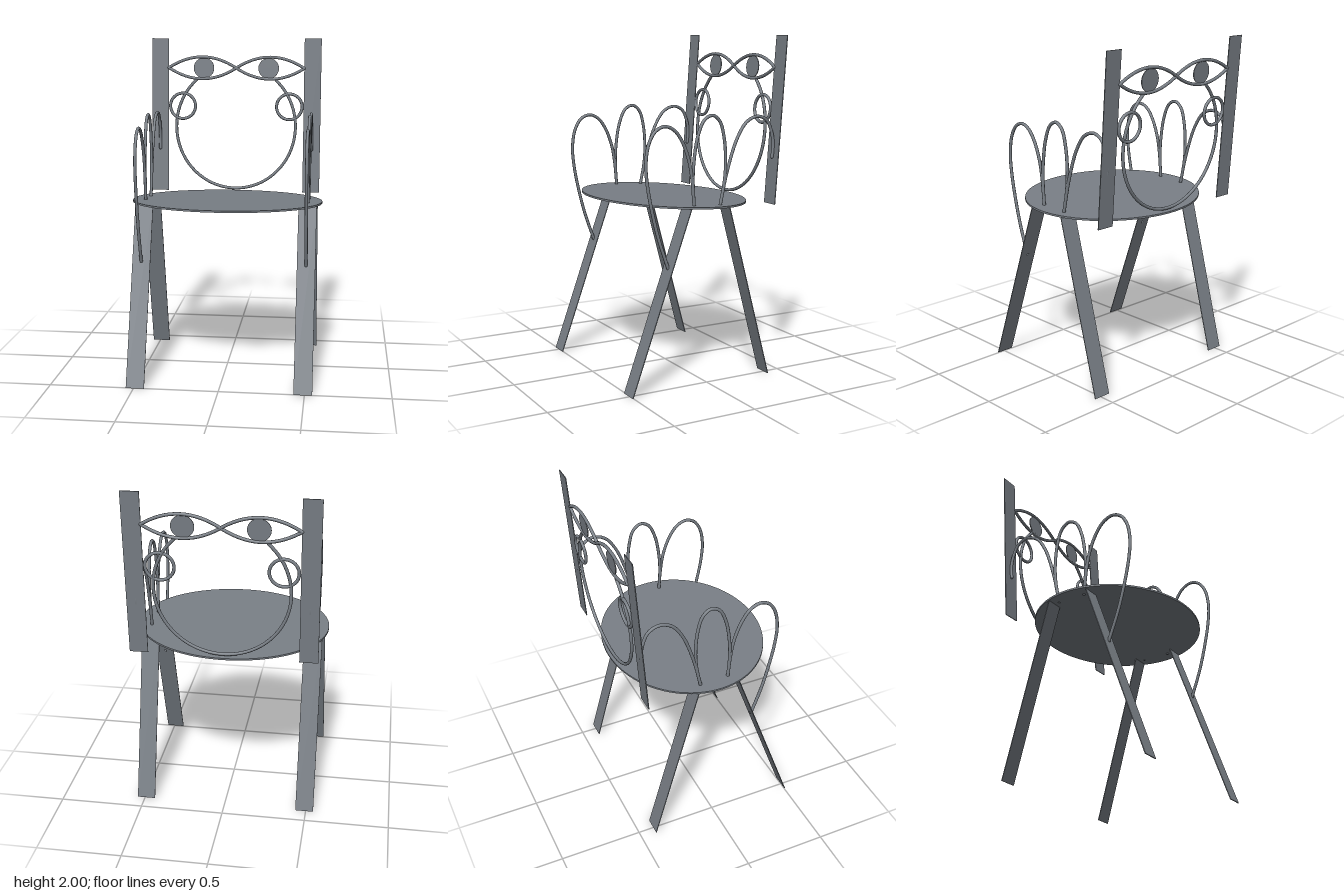
import * as THREE from 'three';

const R = 0.0095;      // wire radius
const SIDE_X = 0.491;  // centre line of legs, posts and arm wires
const mat = new THREE.MeshStandardMaterial({ color: 0x797f86, side: THREE.DoubleSide });

function add(parent, geometry, name) {
  const mesh = new THREE.Mesh(geometry, mat);
  mesh.name = name;
  parent.add(mesh);
  return mesh;
}

// Round wire through [x, y, z] points, with rounded ends
function wire(parent, points, name, segments) {
  const curve = new THREE.CatmullRomCurve3(points.map((p) => new THREE.Vector3(...p)), false, 'centripetal');
  add(parent, new THREE.TubeGeometry(curve, segments, R, 10), name);
  for (const end of [0, 1]) {
    add(parent, new THREE.SphereGeometry(R, 10, 8), name + 'End').position.copy(curve.getPoint(end));
  }
}

// Thin flat plank between two [z, y] points
function plank(parent, x, [z0, y0], [z1, y1], name) {
  const mesh = add(parent, new THREE.BoxGeometry(0.108, Math.hypot(z1 - z0, y1 - y0), 0.005), name);
  mesh.position.set(x, (y0 + y1) / 2, (z0 + z1) / 2);
  mesh.rotation.x = Math.atan2(z1 - z0, y1 - y0);
}

// Arm wires as [z, y] profiles, front to back
const fingers = [
  [[0.253, 0.705], [0.314, 0.88], [0.36, 1.06], [0.384, 1.19], [0.392, 1.3], [0.374, 1.41], [0.331, 1.48],
    [0.271, 1.503], [0.211, 1.477], [0.161, 1.41], [0.118, 1.3], [0.098, 1.19], [0.084, 1.04]],
  [[0.084, 1.04], [0.092, 1.17], [0.089, 1.28], [0.062, 1.44], [0.019, 1.53], [-0.034, 1.553], [-0.082, 1.518],
    [-0.112, 1.42], [-0.123, 1.28], [-0.115, 1.17], [-0.088, 1.035]],
  [[-0.088, 1.035], [-0.135, 1.235], [-0.202, 1.42], [-0.267, 1.51], [-0.342, 1.537], [-0.404, 1.51],
    [-0.438, 1.44], [-0.45, 1.36], [-0.443, 1.295]],
];

export function createModel() {
  const model = new THREE.Group();
  model.name = 'chair';

  // Oval seat, tipped slightly backwards
  const seat = add(model, new THREE.CylinderGeometry(1, 1, 0.011, 96), 'seat');
  seat.scale.set(0.575, 1, 0.473);
  seat.position.set(0, 1.04, 0.015);
  seat.rotation.x = -0.0455;

  // Backrest face lies in one tilted plane; local y is measured from the floor
  const face = new THREE.Group();
  face.name = 'backrestFace';
  const tilt = 0.0715;
  face.rotation.x = -tilt;
  face.position.set(0, 1.02 - 1.02 * Math.cos(tilt), -0.433 + 1.02 * Math.sin(tilt));
  model.add(face);

  // Face outline, open at the top between the eyes
  const outline = [];
  for (let i = 0; i <= 40; i++) {
    const a = THREE.MathUtils.degToRad(132 + (276 * i) / 40);
    outline.push([0.386 * Math.cos(a), 1.44 + 0.4 * Math.sin(a), 0]);
  }
  wire(face, outline, 'faceOutline', 120);

  for (const side of [-1, 1]) {
    const tag = side > 0 ? 'left' : 'right';

    // Legs and back post
    plank(model, side * SIDE_X, [0.505, 0], [0.13, 1.04], tag + 'FrontLeg');
    plank(model, side * SIDE_X, [-0.402, 0], [-0.12, 1.035], tag + 'BackLeg');
    plank(model, side * SIDE_X, [-0.432, 1.02], [-0.502, 2], tag + 'BackPost');

    // Eye: two arched wires around a flat pupil
    for (const lid of [-1, 1]) {
      const arc = [];
      for (let i = 0; i <= 16; i++) {
        const t = i / 8 - 1;
        arc.push([side * (0.219 + 0.219 * t), 1.815 + lid * 0.07 * (1 - t * t), 0]);
      }
      wire(face, arc, tag + (lid > 0 ? 'UpperLid' : 'LowerLid'), 40);
    }
    const pupil = add(face, new THREE.CylinderGeometry(0.066, 0.066, 0.005, 40), tag + 'Pupil');
    pupil.rotation.x = Math.PI / 2;
    pupil.position.set(side * 0.209, 1.814, 0);

    // Cheek ring
    const cheek = add(face, new THREE.TorusGeometry(0.082, R, 10, 48), tag + 'Cheek');
    cheek.position.set(side * 0.345, 1.57, 0);

    // Arm made of three looped wires
    const arm = new THREE.Group();
    arm.name = tag + 'Arm';
    model.add(arm);
    fingers.forEach((f, i) => wire(arm, f.map(([z, y]) => [side * SIDE_X, y, z]), 'armLoop' + (i + 1), 80));
  }
  return model;
}
